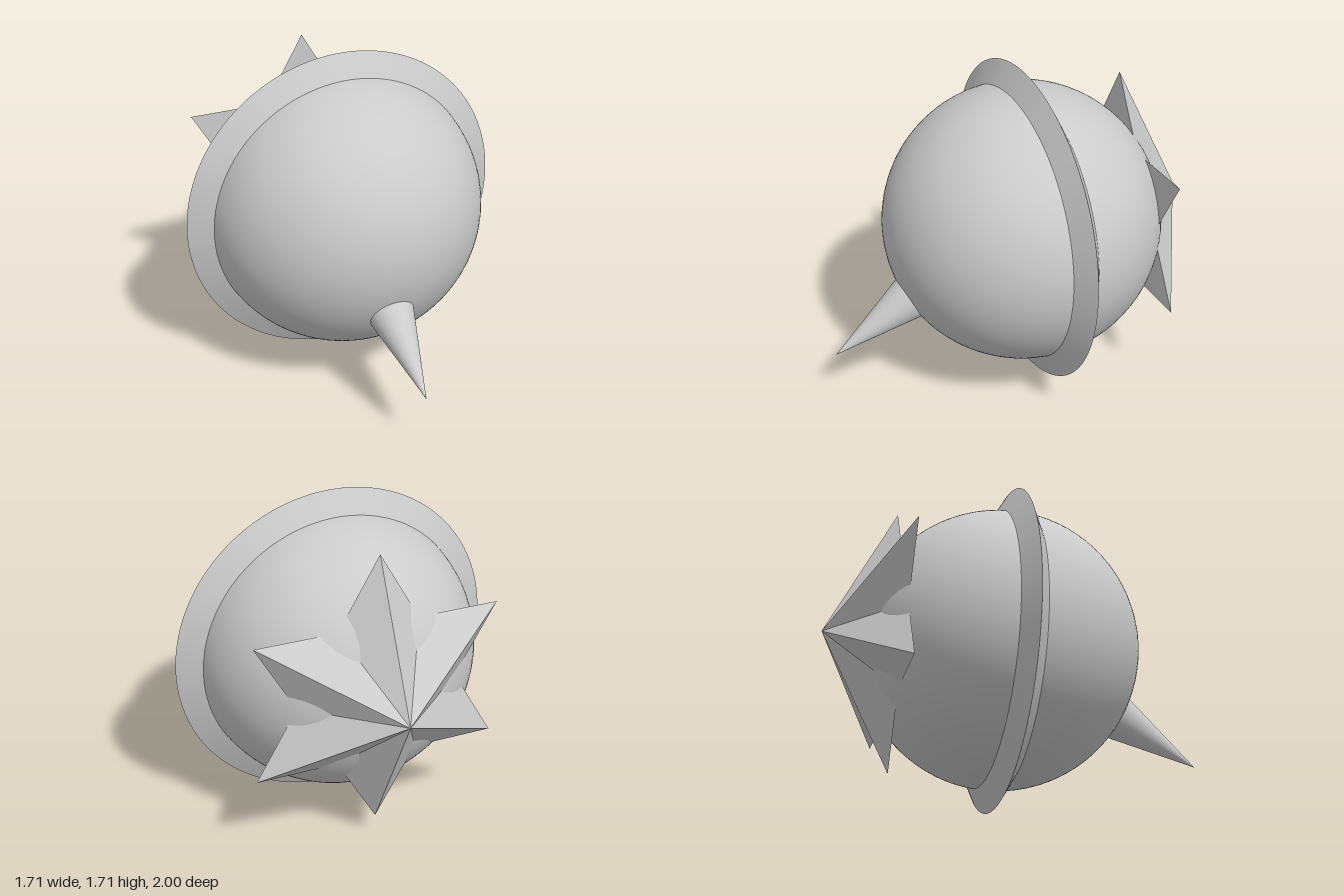
import * as THREE from 'three';

const CENTER_Y = 0.86, CENTER_Z = -0.07;
const R = 0.737;         // body radius
const RIM = 0.857;       // sharp outer edge of the ring
const SEAT = 0.733;      // where the ring meets the body

export function createModel() {
  const group = new THREE.Group();
  const smooth = new THREE.MeshStandardMaterial({ color: 0xcccccc });
  const faceted = new THREE.MeshStandardMaterial({ color: 0xcccccc, flatShading: true });
  const add = (name, geometry, material, x, y, z) => {
    const mesh = new THREE.Mesh(geometry, material);
    mesh.name = name;
    mesh.position.set(x, y, z);
    group.add(mesh);
    return mesh;
  };

  // Round body
  add('body', new THREE.SphereGeometry(R, 96, 64), smooth, 0, CENTER_Y, CENTER_Z);

  // Knife-edged ring around the body: two bevels meeting at the rim
  const bevel = 0.07;
  for (const side of [1, -1]) {
    const g = new THREE.CylinderGeometry(SEAT, RIM, bevel, 128, 1, true);
    g.rotateX(side * Math.PI / 2);
    add(side > 0 ? 'ringFront' : 'ringBack', g, smooth, 0, CENTER_Y, CENTER_Z + side * bevel / 2);
  }

  // Pointed nose spike, tilted downwards, its base buried in the body
  const tilt = THREE.MathUtils.degToRad(29.6), length = 0.6;
  const nose = new THREE.ConeGeometry(0.147, length, 64);
  nose.translate(0, -length / 2, 0);          // origin at the tip
  nose.rotateX(Math.PI / 2 + tilt);
  add('noseSpike', nose, smooth, 0, 0.305, 1);

  // Six-pointed star pyramid at the back: every second corner pulled inwards
  const height = 0.37;
  const star = new THREE.ConeGeometry(0.74, height, 12);
  const p = star.attributes.position;
  for (let i = 0; i < p.count; i++) {
    const step = Math.round(Math.atan2(p.getX(i), p.getZ(i)) / (Math.PI / 6));
    const k = step % 2 === 0 ? 1 : 1 / Math.sqrt(3);
    p.setXYZ(i, p.getX(i) * k, p.getY(i), p.getZ(i) * k);
  }
  star.rotateX(-Math.PI / 2);
  star.computeVertexNormals();
  add('tailStar', star, faceted, 0, CENTER_Y, -1 + height / 2);

  return group;
}
